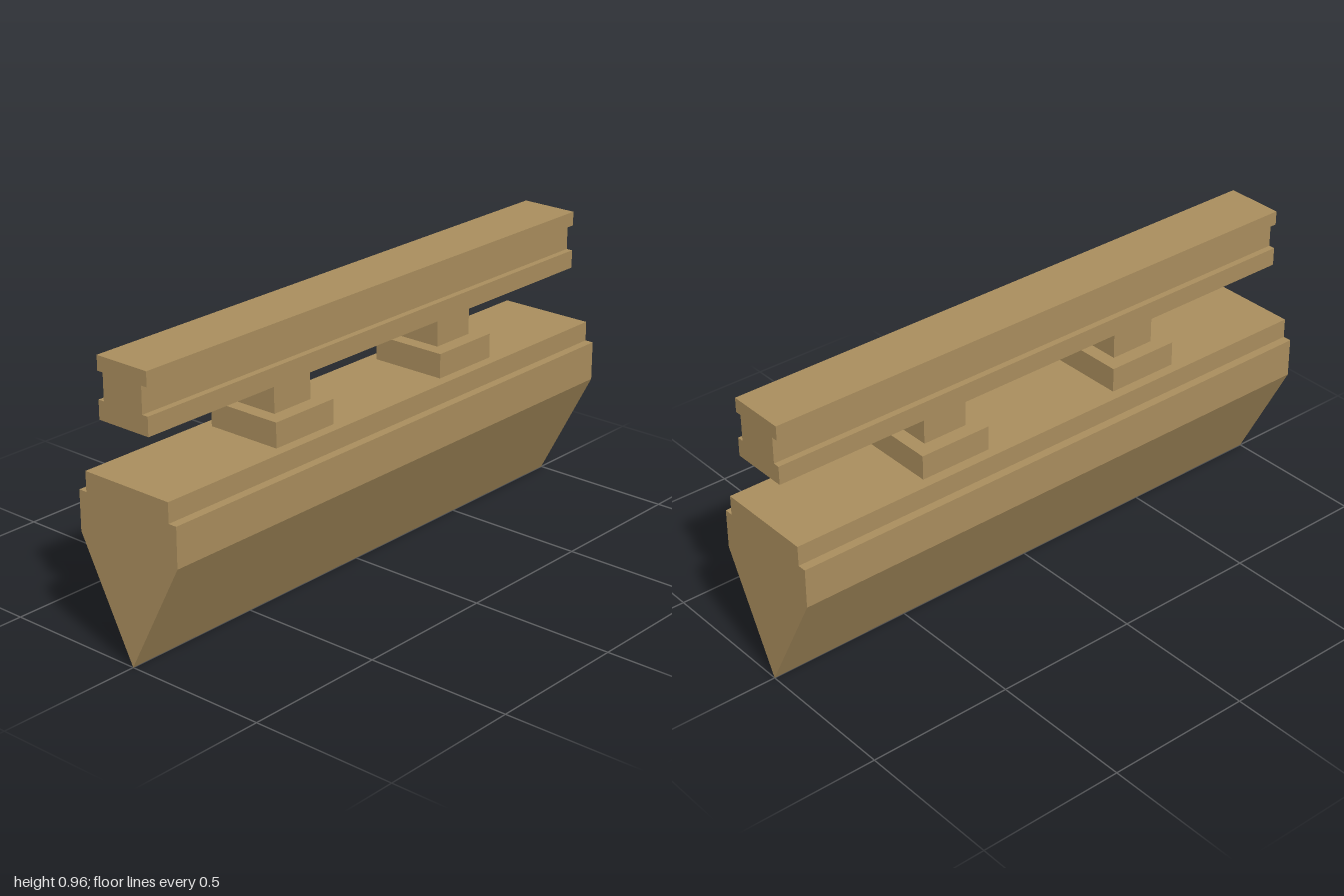
import * as THREE from 'three';

export function createModel() {
  const model = new THREE.Group();
  model.name = 'bladeTool';
  const tan = new THREE.MeshStandardMaterial({ color: 0xa98d5d, flatShading: true });
  tan.name = 'tan';

  const add = (name, geometry, x = 0, y = 0, z = 0) => {
    const mesh = new THREE.Mesh(geometry, tan);
    mesh.name = name;
    mesh.position.set(x, y, z);
    model.add(mesh);
  };

  // Full-length bar from the right half of a profile, mirrored across x = 0
  const bar = (half) => {
    const left = half.filter(([x]) => x > 0).reverse().map(([x, y]) => [-x, y]);
    const shape = new THREE.Shape([...half, ...left].map(([x, y]) => new THREE.Vector2(x, y)));
    return new THREE.ExtrudeGeometry(shape, { depth: 2, bevelEnabled: false }).translate(0, 0, -1);
  };

  // Wedge body with a stepped shoulder
  add('wedgeBody', bar([[0, 0], [0.2, 0.383], [0.2, 0.517], [0.17, 0.517], [0.17, 0.584]]));

  // Handle rail with a groove along each side
  add('handleRail', bar([
    [0.1, 0.763], [0.1, 0.825], [0.078, 0.825], [0.078, 0.913], [0.1, 0.913], [0.1, 0.961],
  ]));

  // Two supports: wide pad and narrower post
  for (const [side, z] of [['front', 0.385], ['back', -0.383]]) {
    add(`${side}Pad`, new THREE.BoxGeometry(0.268, 0.083, 0.255), 0, 0.6255, z);
    add(`${side}Post`, new THREE.BoxGeometry(0.166, 0.096, 0.16), 0, 0.715, z);
  }

  return model;
}
